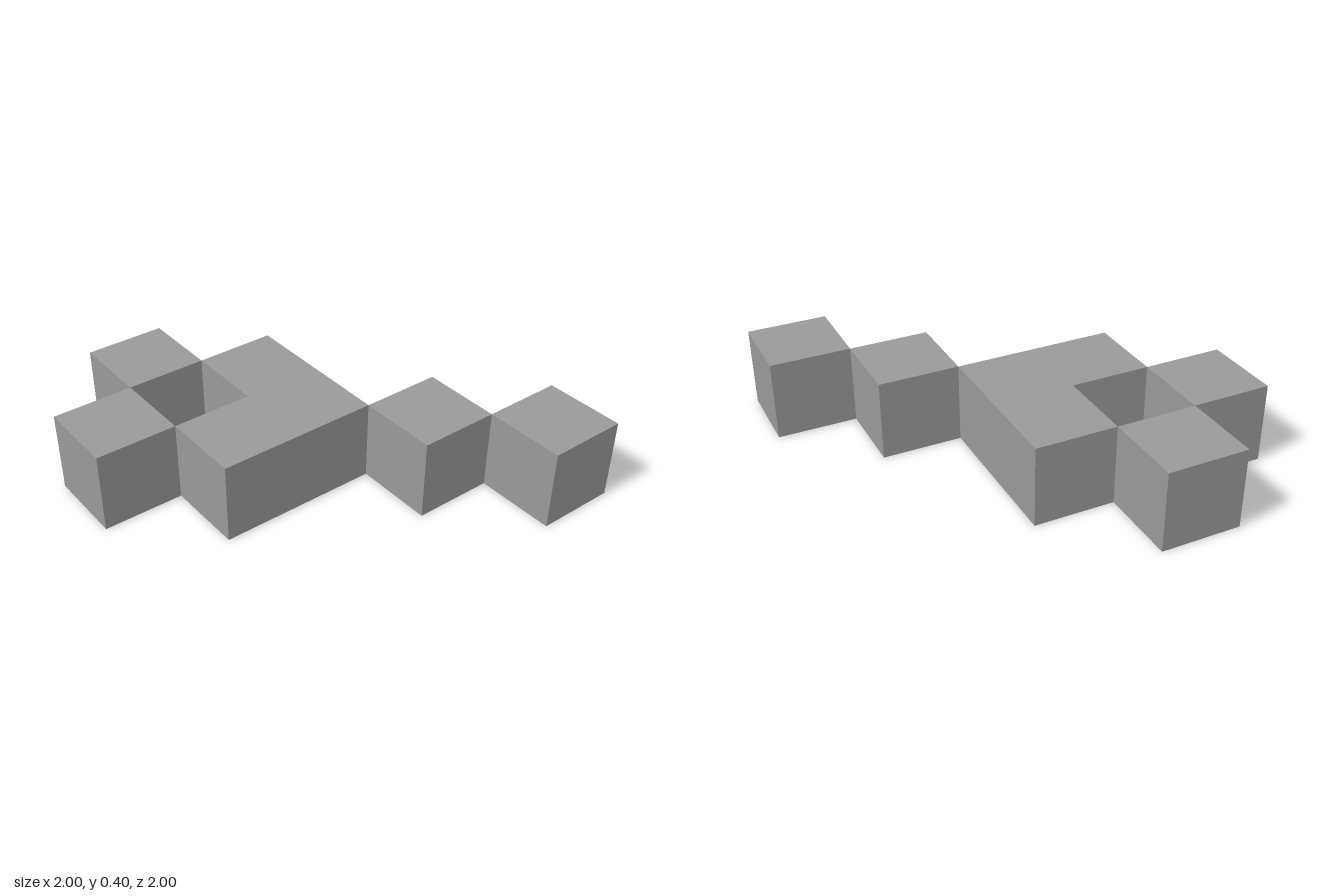
import * as THREE from 'three';

const S = 0.4; // edge of one cube, also the height of every part

export function createModel() {
  const model = new THREE.Group();
  model.name = 'cubeChain';
  const grey = new THREE.MeshStandardMaterial({ color: 0x999999 });
  grey.name = 'grey';

  // L-shaped body covering three cells, drawn in plan (shape y = -z)
  const outline = [[-0.6, -0.2], [0.2, -0.2], [0.2, 0.6], [-0.2, 0.6], [-0.2, 0.2], [-0.6, 0.2]];
  const shape = new THREE.Shape(outline.map(([x, y]) => new THREE.Vector2(x, y)));
  const bodyGeometry = new THREE.ExtrudeGeometry(shape, { depth: S, bevelEnabled: false });
  bodyGeometry.rotateX(-Math.PI / 2);
  const body = new THREE.Mesh(bodyGeometry, grey);
  body.name = 'cornerBody';
  model.add(body);

  // Single cubes touching the body and each other only along their edges
  const cubeGeometry = new THREE.BoxGeometry(S, S, S);
  const cubes = {
    backCube: [-0.4, -0.8],
    rightCube: [-0.8, -0.4],
    innerTailCube: [0.4, 0.4],
    outerTailCube: [0.8, 0.8],
  };
  for (const [name, [x, z]] of Object.entries(cubes)) {
    const cube = new THREE.Mesh(cubeGeometry, grey);
    cube.name = name;
    cube.position.set(x, S / 2, z);
    model.add(cube);
  }
  return model;
}
